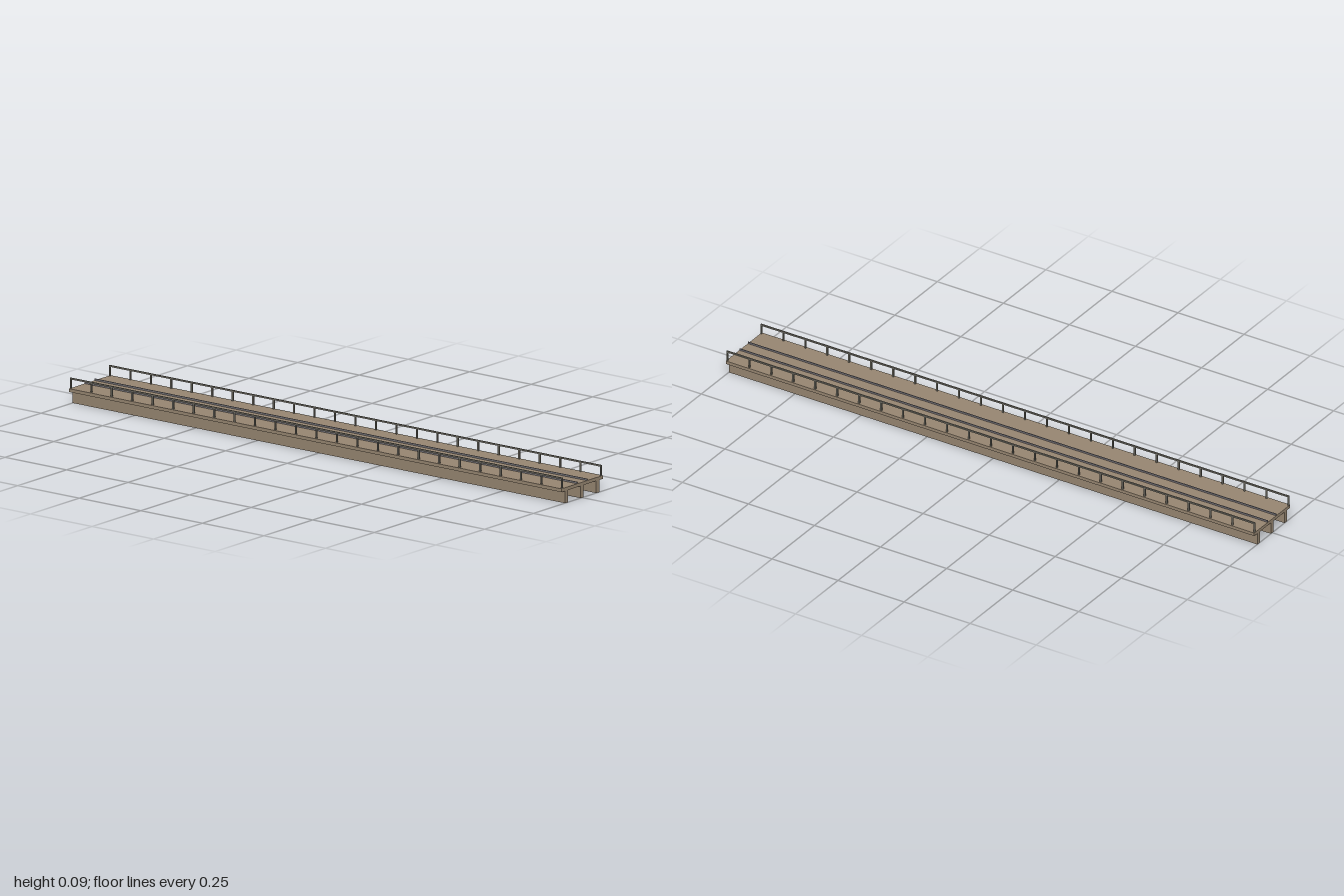
import * as THREE from 'three';

const LENGTH = 2;
const BAYS = 24;

function material(name, color) {
  const m = new THREE.MeshStandardMaterial({ color });
  m.name = name;
  return m;
}

export function createModel() {
  const bridge = new THREE.Group();
  bridge.name = 'railwayBridge';
  const concrete = material('brown concrete', 0x998873);
  const railSteel = material('rail steel', 0x77757a);
  const railingSteel = material('grey railing', 0x78756b);

  // Box given by its centre in x and z and its lower and upper heights
  function box(name, mat, x, z, y0, y1, width, depth, parent = bridge) {
    const mesh = new THREE.Mesh(new THREE.BoxGeometry(width, y1 - y0, depth), mat);
    mesh.position.set(x, (y0 + y1) / 2, z);
    mesh.name = name;
    parent.add(mesh);
  }

  // Deck slab on three longitudinal girders
  box('deck', concrete, 0, 0, 0.04, 0.051, 0.212, LENGTH);
  for (const x of [-0.08, 0, 0.08]) box('girder', concrete, x, 0, 0, 0.04, 0.016, LENGTH);

  for (const side of [-1, 1]) {
    // Track rail
    box('trackRail', railSteel, side * 0.025, 0, 0.051, 0.057, 0.003, LENGTH);

    // Railing: handrail on evenly spaced posts
    const railing = new THREE.Group();
    railing.name = side > 0 ? 'leftRailing' : 'rightRailing';
    bridge.add(railing);
    const x = side * 0.1;
    box('handrail', railingSteel, x, 0, 0.081, 0.086, 0.005, LENGTH, railing);
    for (let i = 0; i <= BAYS; i++) {
      const z = (i / BAYS - 0.5) * (LENGTH - 0.005);
      box('post', railingSteel, x, z, 0.051, 0.081, 0.005, 0.005, railing);
    }
  }
  return bridge;
}
